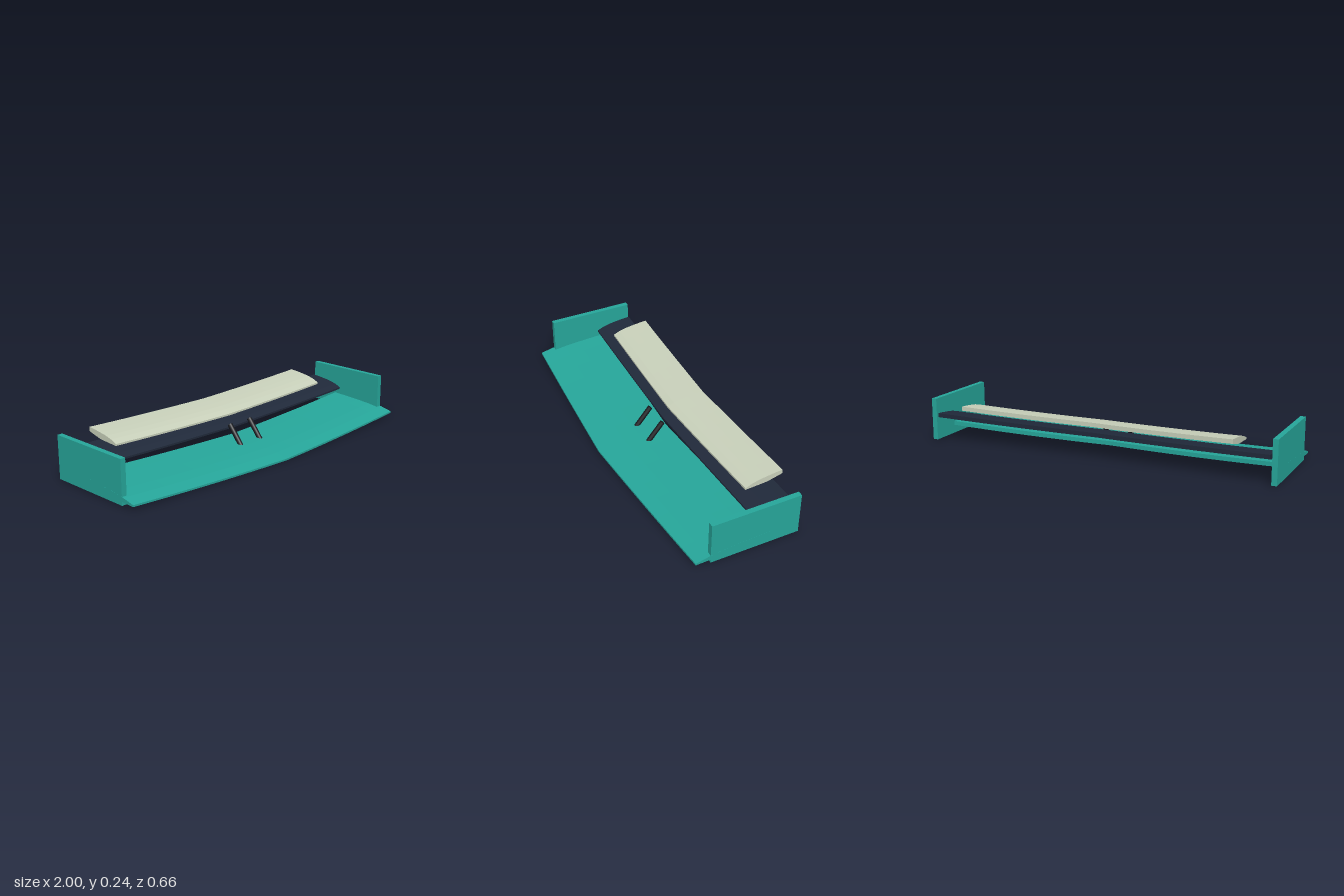
import * as THREE from 'three';

// wing section: [fraction of chord from the leading edge, top y, bottom y]
const SECTION = [
  [0, 0.010, 0], [0.175, 0.026, 0.002], [0.36, 0.036, 0.004],
  [0.58, 0.043, 0.007], [0.79, 0.048, 0.017], [1, 0.052, 0.029],
];
const STATIONS = 16;

function mat(name, color) {
  const m = new THREE.MeshStandardMaterial({ color });
  m.name = name;
  return m;
}

// loft the section across the span, swept linearly and lifted quadratically to the tips
function wingGeometry({ half, lead, chord, sweep, y, lift }) {
  const n = SECTION.length;
  const loop = [
    ...SECTION.map(([f, t]) => [f, t]),
    ...SECTION.map(([f, , b]) => [f, b]).reverse(),
  ];
  const pos = [], index = [];
  for (let i = 0; i <= STATIONS; i++) {
    const u = (i / STATIONS) * 2 - 1;
    for (const [f, h] of loop) {
      pos.push(u * half, y + h + lift * u * u, lead - f * chord - sweep * Math.abs(u));
    }
  }
  const m = loop.length;
  const quad = (a, b, c, d) => index.push(a, b, c, a, c, d);
  for (let i = 0; i < STATIONS; i++) {
    for (let j = 0; j < m; j++) {
      const k = (j + 1) % m;
      quad(i * m + j, (i + 1) * m + j, (i + 1) * m + k, i * m + k);
    }
  }
  // end caps
  const o = STATIONS * m;
  for (let j = 0; j < n - 1; j++) {
    const t0 = j, t1 = j + 1, b0 = m - 1 - j, b1 = m - 2 - j;
    quad(t0, t1, b1, b0);
    quad(o + b0, o + b1, o + t1, o + t0);
  }
  const indexed = new THREE.BufferGeometry();
  indexed.setAttribute('position', new THREE.Float32BufferAttribute(pos, 3));
  indexed.setIndex(index);
  const g = indexed.toNonIndexed();
  g.computeVertexNormals();
  return g;
}

export function createModel() {
  const group = new THREE.Group();
  group.name = 'frontWing';
  const teal = mat('teal', 0x26a69a);
  const navy = mat('navy', 0x20293a);
  const cream = mat('cream', 0xc8d0ba);
  const black = mat('black', 0x15171c);

  const add = (name, geometry, material) => {
    const mesh = new THREE.Mesh(geometry, material);
    mesh.name = name;
    group.add(mesh);
    return mesh;
  };

  // three stacked wing elements
  add('mainPlane', wingGeometry({ half: 1, lead: 0.33, chord: 0.407, sweep: 0.06, y: 0, lift: 0.021 }), teal);
  add('middleFlap', wingGeometry({ half: 0.96, lead: -0.06, chord: 0.21, sweep: 0.032, y: 0.094, lift: 0.011 }), navy);
  add('upperFlap', wingGeometry({ half: 0.78, lead: -0.09, chord: 0.211, sweep: 0.031, y: 0.157, lift: 0.011 }), cream);

  for (const side of [-1, 1]) {
    const name = side > 0 ? 'left' : 'right';
    // upright end plate
    add(name + 'EndPlate', new THREE.BoxGeometry(0.029, 0.235, 0.491), teal)
      .position.set(side * 0.985, 0.1205, -0.0565);

    // leaning support strut
    const foot = new THREE.Vector3(side * 0.075, 0.014, 0.085);
    const top = new THREE.Vector3(side * 0.075, 0.138, -0.018);
    const dir = top.clone().sub(foot);
    const strut = add(name + 'Strut', new THREE.CylinderGeometry(0.014, 0.014, dir.length(), 12), black);
    strut.position.copy(foot).add(top).multiplyScalar(0.5);
    strut.quaternion.setFromUnitVectors(new THREE.Vector3(0, 1, 0), dir.normalize());
  }
  return group;
}
